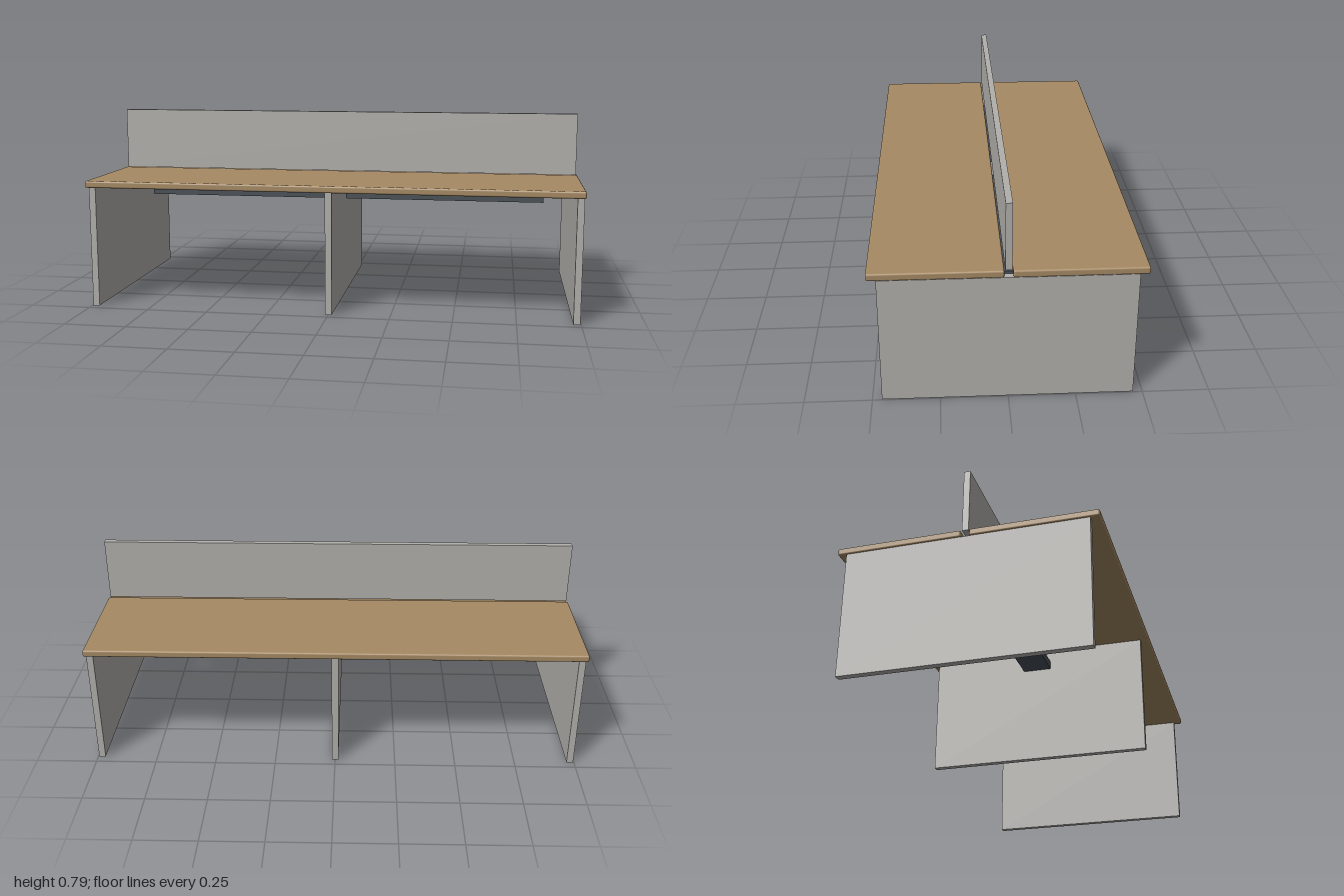
import * as THREE from 'three';
import { RoundedBoxGeometry } from 'three/addons/geometries/RoundedBoxGeometry.js';

const material = (name, color) => {
  const m = new THREE.MeshStandardMaterial({ color });
  m.name = name;
  return m;
};

export function createModel() {
  const group = new THREE.Group();
  group.name = 'doubleDesk';
  const wood = material('wood', 0xa68a64);
  const grey = material('panelGrey', 0xb2b0ac);
  const dark = material('darkMetal', 0x495057);

  const add = (name, geometry, mat, x, y, z) => {
    const mesh = new THREE.Mesh(geometry, mat);
    mesh.name = name;
    mesh.position.set(x, y, z);
    group.add(mesh);
  };

  // Two worktops with softened edges, separated by a narrow gap
  for (const [name, side] of [['frontWorktop', 1], ['backWorktop', -1]]) {
    add(name, new RoundedBoxGeometry(2, 0.028, 0.484, 3, 0.007), wood, 0, 0.516, side * 0.258);
  }

  // Three full-depth leg panels
  for (const [name, x] of [['rightLegPanel', -0.983], ['middleLegPanel', 0], ['leftLegPanel', 0.983]]) {
    add(name, new THREE.BoxGeometry(0.027, 0.502, 0.93), grey, x, 0.251, 0);
  }

  // Privacy screen standing above the gap
  add('privacyScreen', new THREE.BoxGeometry(1.987, 0.259, 0.025), grey, 0, 0.6595, 0);

  // Cable tray slung below the worktops
  add('cableTray', new THREE.BoxGeometry(1.72, 0.035, 0.12), dark, 0, 0.432, 0);

  return group;
}
